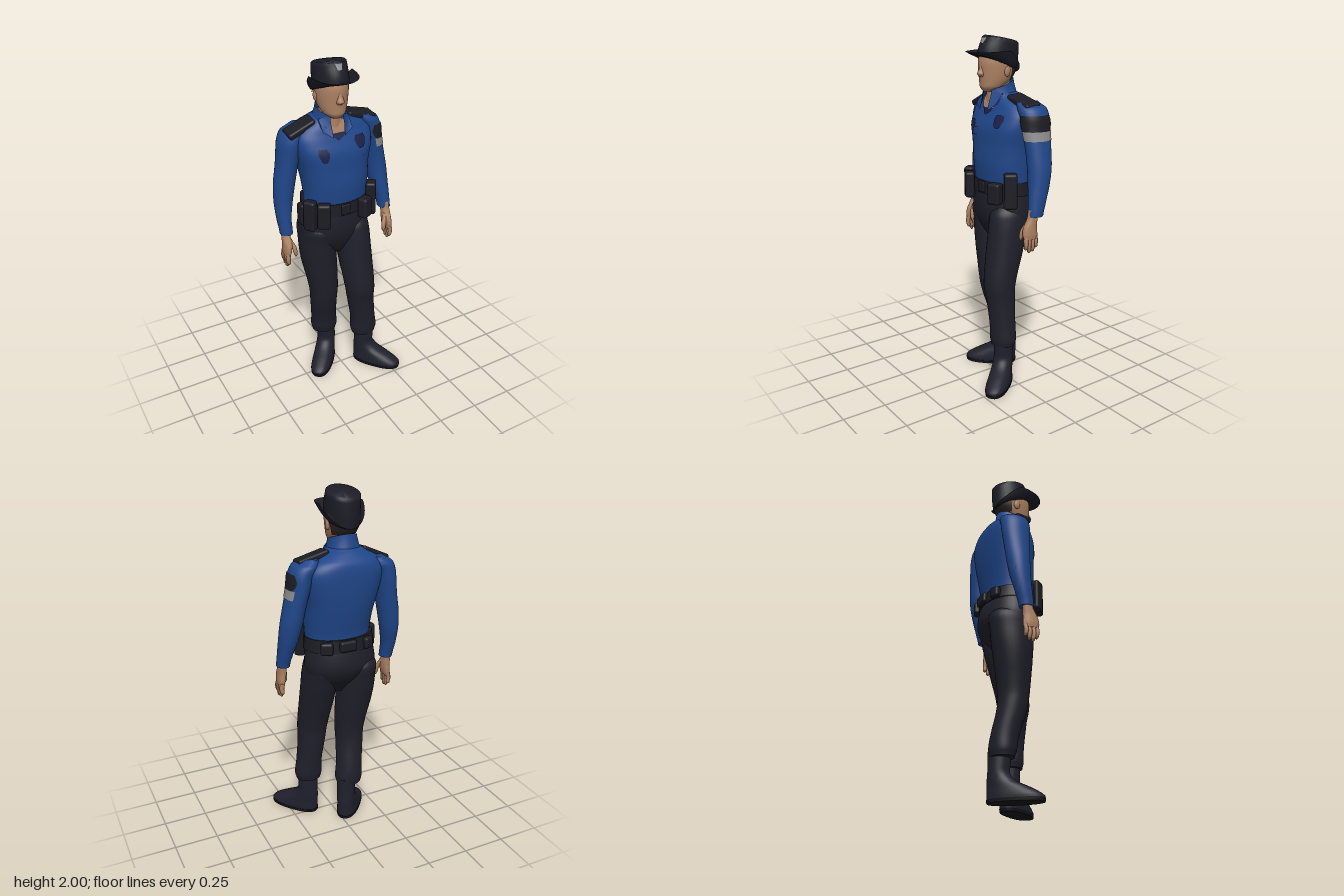
import * as THREE from 'three';
import { toCreasedNormals } from 'three/addons/utils/BufferGeometryUtils.js';
import { RoundedBoxGeometry } from 'three/addons/geometries/RoundedBoxGeometry.js';

const mat = (name, color, side = THREE.FrontSide) => {
  const m = new THREE.MeshStandardMaterial({ color, side });
  m.name = name;
  return m;
};

// Interpolates horizontal sections [y, x, z, rx, rz, slope, squareness], listed from top to bottom.
function sectionAt(secs, y) {
  let i = 0;
  while (i < secs.length - 2 && y < secs[i + 1][0]) i++;
  const p = [i - 1, i, i + 1, i + 2].map(k => secs[Math.min(Math.max(k, 0), secs.length - 1)]);
  const t = (y - p[1][0]) / (p[2][0] - p[1][0]);
  return [1, 2, 3, 4, 5, 6].map(k => {
    const [a, b, c, d] = p.map(s => s[k] || 0);
    return b + 0.5 * t * (c - a + t * (2 * a - 5 * b + 4 * c - d + t * (3 * (b - c) + d - a)));
  });
}

const power = (v, e) => Math.sign(v) * Math.abs(v) ** e;

// Point on a lofted surface; angle 0 is the front, growing toward +x.
function surface(secs, y, angle, offset = 0, scale = 1) {
  const [cx, cz, rx, rz, slope, square] = sectionAt(secs, y);
  const dz = (rz + offset) * scale * power(Math.cos(angle), 1 - square);
  return [cx + (rx + offset) * scale * power(Math.sin(angle), 1 - square), y + slope * dz, cz + dz];
}

// Grid of points f(u, v), u to the right and v downward as seen from outside.
function grid(f, nu, nv) {
  const pos = [], idx = [];
  for (let i = 0; i <= nv; i++)
    for (let j = 0; j <= nu; j++) pos.push(...f(j / nu, i / nv));
  for (let i = 0; i < nv; i++)
    for (let j = 0; j < nu; j++) {
      const a = i * (nu + 1) + j, c = a + nu + 1;
      idx.push(a, c, a + 1, a + 1, c, c + 1);
    }
  const g = new THREE.BufferGeometry();
  g.setAttribute('position', new THREE.Float32BufferAttribute(pos, 3));
  g.setIndex(idx);
  g.computeVertexNormals();
  return g;
}

// Closed body through the sections, with end caps.
function loft(secs, nu = 32, sub = 4) {
  const n = (secs.length - 1) * sub;
  const g = grid((u, v) => {
    const row = Math.round(v * (n + 2)) - 1;
    const k = Math.min(Math.max(row, 0), n);
    const i = Math.min(Math.floor(k / sub), secs.length - 2);
    const y = THREE.MathUtils.lerp(secs[i][0], secs[i + 1][0], k / sub - i);
    return surface(secs, y, u * Math.PI * 2, 0, row === k ? 1 : 0);
  }, nu, n + 2);
  return toCreasedNormals(g, 0.9);
}

// Thin panel lying on a lofted surface.
const patch = (secs, top, bottom, angle, half, shape = () => 1, offset = 0.006) =>
  grid((u, v) => surface(secs, top + (bottom - top) * v, angle + (2 * u - 1) * half * shape(v), offset), 16, 10);

const shield = v => Math.min(1, .7 + v) * Math.sqrt(1 - .9 * v * v);

export function createModel() {
  const group = new THREE.Group();
  const shirt = mat('shirt blue', 0x1f4689, THREE.DoubleSide);
  const trouser = mat('trouser navy', 0x1f1f2a);
  const hatCloth = mat('hat navy', 0x1c1d27, THREE.DoubleSide);
  const gear = mat('gear black', 0x1c1c24);
  const boot = mat('boot navy', 0x1f202c);
  const sole = mat('sole black', 0x14141a);
  const skin = mat('skin', 0xae8264);
  const hair = mat('dark hair', 0x2b2422);
  const silver = mat('silver', 0x8c8d8c);
  const emblem = mat('emblem navy', 0x1b2148);

  const add = (name, geo, material, parent = group) => {
    const m = new THREE.Mesh(geo, material);
    m.name = name;
    parent.add(m);
    return m;
  };

  // Shirt body
  const torso = [
    [1.70, -.035, -.07, .075, .08], [1.67, -.03, -.095, .118, .092, 0, .08], [1.63, -.02, -.108, .195, .115, 0, .2],
    [1.58, -.015, -.104, .23, .13, 0, .27], [1.5, -.012, -.088, .225, .147, 0, .26], [1.4, -.01, -.08, .205, .148, 0, .2],
    [1.3, -.005, -.068, .195, .145, 0, .12], [1.2, -.005, -.063, .19, .135, 0, .05], [1.12, -.01, -.07, .195, .135]];
  add('shirtBody', loft(torso, 44), shirt);
  add('openNeck', patch(torso, 1.67, 1.605, -.03, .42, v => 1 - .72 * v), skin);
  add('underShirt', patch(torso, 1.605, 1.565, -.03, .12, v => 1 - v), emblem);
  add('leftChestEmblem', patch(torso, 1.575, 1.505, .37, .17, shield), emblem);
  add('rightChestEmblem', patch(torso, 1.535, 1.46, -.42, .16, shield), emblem);
  for (const s of [-1, 1])
    add('pocketFlap', patch(torso, 1.495, 1.45, s * .32, .18, v => 1 - .2 * v, .004), shirt);

  // Collar with two pointed flaps
  const collar = [[1.735, -.035, -.058, .078, .086, -.36], [1.69, -.035, -.06, .088, .092, -.33],
    [1.645, -.035, -.065, .105, .1, -.25]];
  add('collar', grid((u, v) => surface(collar, 1.735 - .09 * v, .5 + u * (Math.PI * 2 - 1)), 32, 6), shirt);
  for (const s of [-1, 1]) {
    const c = [[.042, 1.705, .018], [.09, 1.685, -.022], [.034, 1.59, .047], [.09, 1.625, .03]];
    add('collarFlap', grid((u, v) => {
      const p = c[(v > .5 ? 2 : 0) + (u > .5 ? 1 : 0)];
      return [-.035 + s * p[0], p[1], p[2]];
    }, 1, 1), shirt);
  }

  // Sleeves and hands
  const leftArm = [
    [1.65, .175, -.1, .045, .065], [1.62, .205, -.105, .07, .085], [1.57, .232, -.107, .066, .088],
    [1.5, .245, -.107, .062, .086], [1.4, .267, -.105, .061, .077], [1.3, .286, -.1, .061, .071],
    [1.2, .3, -.085, .054, .062], [1.1, .315, -.062, .041, .051], [1.045, .32, -.05, .037, .046]];
  const rightArm = [
    [1.635, -.195, -.12, .045, .07], [1.6, -.228, -.128, .068, .085], [1.55, -.25, -.128, .066, .088],
    [1.48, -.262, -.13, .061, .084], [1.4, -.273, -.13, .06, .076], [1.3, -.29, -.13, .06, .068],
    [1.2, -.302, -.125, .053, .06], [1.1, -.31, -.108, .042, .05], [1.01, -.307, -.09, .037, .042]];
  add('leftSleeve', loft(leftArm), shirt);
  add('rightSleeve', loft(rightArm), shirt);
  add('armPatch', patch(leftArm, 1.585, 1.5, 1.05, 1.4, v => .8 + .2 * Math.sin(v * Math.PI), .004), gear);
  add('armStripe', patch(leftArm, 1.5, 1.45, 1.1, 1.28, () => 1, .004), silver);

  function hand(name, s, x, y, z) {
    const h = new THREE.Group();
    h.name = name;
    h.position.set(x, y, z);
    group.add(h);
    add('palm', loft([[.05, 0, -.005, .025, .028], [0, 0, 0, .025, .031], [-.05, 0, .015, .025, .044],
      [-.09, s * .004, .017, .022, .048], [-.115, s * .006, .015, .017, .044]], 20), skin, h);
    [.047, .026, .003, -.019].forEach((fz, i) => {
      const len = [.075, .095, .09, .07][i];
      add('finger', loft([[-.1, s * .006, fz, .014, .012], [-.1 - len * .5, s * .012, fz + .003, .014, .012],
        [-.1 - len * .9, s * .008, fz, .011, .01], [-.1 - len, s * .006, fz, .003, .003]], 10, 3), skin, h);
    });
    add('thumb', loft([[-.02, -s * .012, .02, .013, .015], [-.07, -s * .03, .042, .014, .014],
      [-.115, -s * .036, .05, .01, .01], [-.13, -s * .036, .05, .003, .003]], 10, 3), skin, h);
  }
  hand('leftHand', 1, .318, 1.035, -.03);
  hand('rightHand', -1, -.314, 1.0, -.085);

  // Shoulder boards
  for (const [name, x, y, w, tilt] of [['rightShoulderBoard', -.207, 1.634, .165, .42], ['leftShoulderBoard', .158, 1.648, .18, -.25]]) {
    const m = add(name, new RoundedBoxGeometry(w, .036, .095, 3, .012), gear);
    m.position.set(x, y, -.085);
    m.rotation.set(.12, 0, tilt);
  }

  // Trousers
  add('hips', loft([[1.18, -.01, -.067, .192, .134], [1.1, -.015, -.072, .204, .147], [1.02, -.017, -.075, .21, .15],
    [.95, -.017, -.066, .192, .124], [.88, -.015, -.055, .13, .08], [.85, -.015, -.055, .08, .06]], 40), trouser);
  add('leftLeg', loft([[1.07, .09, -.06, .07, .1], [1.02, .092, -.055, .094, .128], [.95, .094, -.04, .1, .126],
    [.8, .097, -.008, .101, .112], [.6, .108, .036, .091, .094], [.5, .117, .034, .083, .083], [.35, .135, .034, .078, .074],
    [.27, .14, .034, .084, .073], [.235, .14, .034, .075, .066]]), trouser);
  add('rightLeg', loft([[1.07, -.12, -.08, .07, .1], [1.02, -.122, -.085, .1, .136], [.95, -.12, -.085, .104, .128],
    [.8, -.11, -.075, .106, .113], [.6, -.09, -.06, .089, .09], [.5, -.086, -.067, .082, .083], [.35, -.07, -.1, .078, .077],
    [.27, -.063, -.11, .083, .074], [.235, -.062, -.112, .075, .066]]), trouser);

  // Boots turned outward
  for (const [name, x, z, turn] of [['leftBoot', .145, .035, .665], ['rightBoot', -.043, -.12, -.72]]) {
    const b = new THREE.Group();
    b.name = name;
    b.position.set(x, 0, z);
    b.rotation.y = turn;
    group.add(b);
    add('bootUpper', loft([[.27, 0, 0, .057, .06], [.2, 0, 0, .056, .06], [.15, 0, 0, .056, .061],
      [.11, 0, .018, .057, .082, 0, .05], [.075, 0, .055, .06, .118, 0, .1], [.035, 0, .088, .064, .15, 0, .18],
      [.012, 0, .091, .064, .153, 0, .18]]), boot, b);
    add('bootSole', loft([[.018, 0, .091, .066, .156, 0, .18], [0, 0, .091, .064, .153, 0, .18]], 32, 1), sole, b);
  }

  // Belt and carried gear: x, y, z, width, height, depth, turn
  add('belt', loft([[1.2, -.01, -.067, .2, .143], [1.125, -.013, -.07, .208, .15]], 40, 2), gear);
  [[.115, 1.145, .075, .075, .12, .06, .45], [.185, 1.165, .02, .075, .2, .06, 1.0],
    [-.145, 1.15, .07, .075, .15, .055, -.5], [-.208, 1.15, .025, .07, .18, .055, -.95],
    [-.225, 1.14, -.035, .06, .13, .05, -1.5], [-.01, 1.163, .078, .06, .06, .015, 0],
    [0, 1.165, -.215, .1, .062, .036, 0], [.12, 1.16, -.195, .07, .07, .04, -.4], [-.13, 1.16, -.195, .06, .065, .04, .4]]
    .forEach(([x, y, z, w, h, d, turn]) => {
      const m = add('beltPouch', new RoundedBoxGeometry(w, h, d, 3, Math.min(.014, d / 2.2)), gear);
      m.position.set(x, y, z);
      m.rotation.y = turn;
    });

  // Head
  const head = [[1.92, -.037, -.05, .08, .1], [1.86, -.037, -.048, .091, .113], [1.8, -.037, -.045, .088, .108],
    [1.75, -.037, -.03, .077, .089], [1.715, -.037, -.01, .06, .066], [1.695, -.037, 0, .035, .042]];
  add('head', loft(head), skin);
  add('neck', loft([[1.78, -.037, -.055, .062, .07], [1.7, -.037, -.055, .06, .066], [1.6, -.035, -.05, .06, .063]]), skin);
  add('nose', loft([[1.85, -.037, .05, .012, .014], [1.81, -.037, .053, .017, .021], [1.79, -.037, .055, .023, .029],
    [1.775, -.037, .05, .018, .016]], 16), skin);
  add('hair', patch(head, 1.88, 1.755, Math.PI, 1.4, v => 1 - .25 * v, .005), hair);
  for (const s of [-1, 1]) {
    const ear = add('ear', new THREE.SphereGeometry(1, 14, 10), skin);
    ear.scale.set(.011, .03, .02);
    ear.position.set(-.037 + s * .086, 1.805, -.055);
  }

  // Hat with a brim that curls up at the sides
  const hat = [[1.978, -.035, -.07, .082, .096, .21], [1.97, -.035, -.07, .09, .106, .21],
    [1.9, -.035, -.056, .092, .118, .3], [1.84, -.035, -.047, .092, .119, .4]];
  add('hatCrown', loft(hat, 40), hatCloth);
  add('hatBrim', grid((u, v) => {
    const a = u * Math.PI * 2, c = Math.cos(a);
    const width = c > 0 ? .036 + .034 * c * c : .036 * Math.sqrt(Math.max(0, 1 + c));
    const lift = c > 0 ? .075 - .055 * c : .075 * (1 + c);
    const p = surface(hat, 1.842, a, width * v);
    const base = surface(hat, 1.842, a)[1];
    return [p[0], base + lift * v * v, p[2]];
  }, 48, 6), hatCloth);
  add('hatBadge', patch(hat, 1.962, 1.925, 0, .23, v => 1 - .4 * v, .005), silver);

  return group;
}
